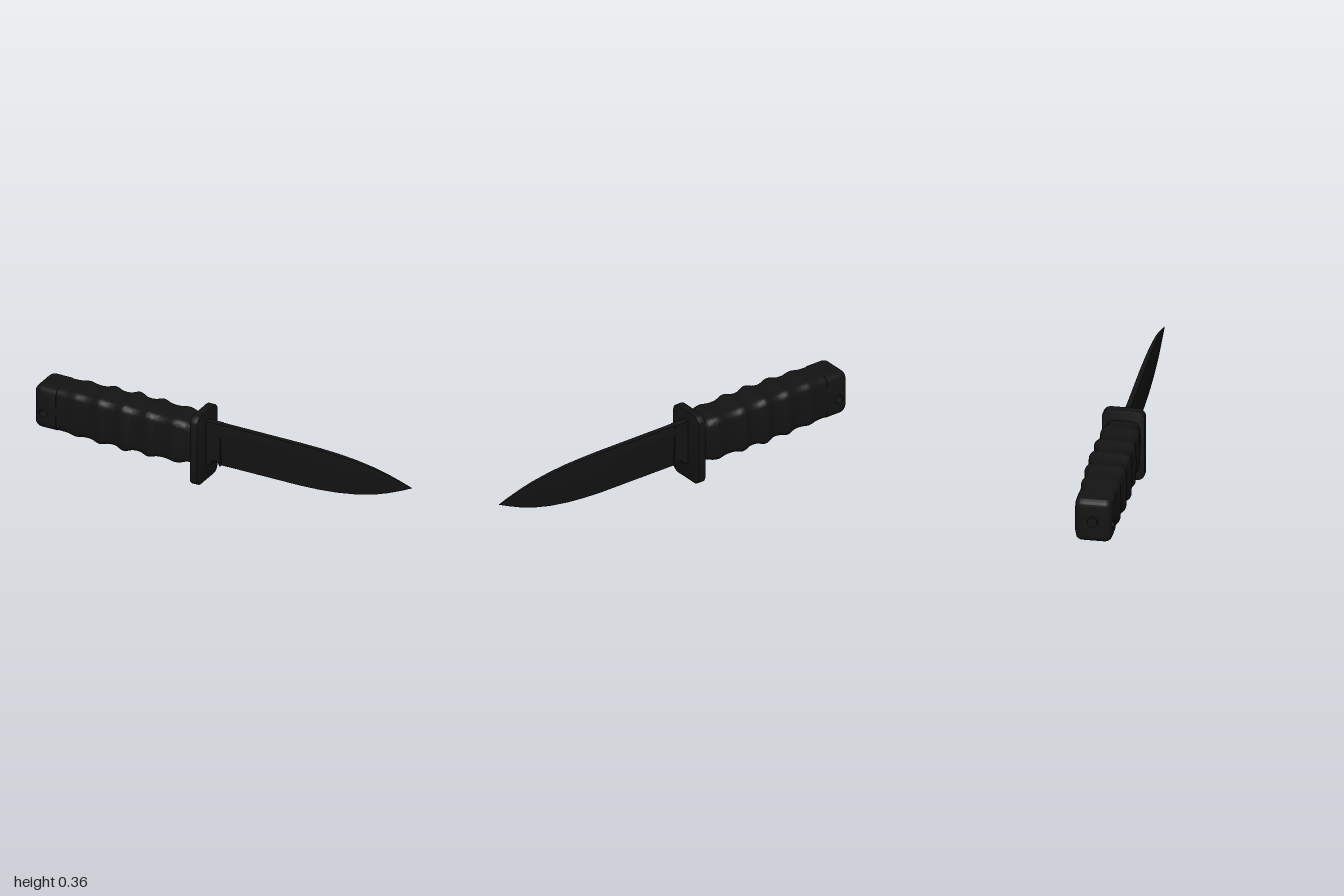
import * as THREE from 'three';
import { toCreasedNormals } from 'three/addons/utils/BufferGeometryUtils.js';

const MID = 0.202; // height of the handle axis

const black = new THREE.MeshStandardMaterial({ color: 0x141414 });

function part(name, geometry, crease = 0.5) {
  const mesh = new THREE.Mesh(toCreasedNormals(geometry, crease), black);
  mesh.name = name;
  return mesh;
}

// Skin equal-length rings of [x, y, z], running from low x to high x, with capped ends
function loft(rings) {
  const n = rings[0].length, index = [];
  for (let i = 0; i < rings.length - 1; i++) {
    for (let j = 0; j < n; j++) {
      const a = i * n + j, b = i * n + (j + 1) % n;
      index.push(a, b, a + n, b, b + n, a + n);
    }
  }
  const last = (rings.length - 1) * n;
  for (let j = 1; j < n - 1; j++) index.push(0, j + 1, j, last, last + j, last + j + 1);
  const g = new THREE.BufferGeometry();
  g.setAttribute('position', new THREE.Float32BufferAttribute(rings.flat(2), 3));
  g.setIndex(index);
  return g;
}

function roundedRect(w, h, r) {
  const s = new THREE.Shape();
  s.absarc(w - r, h - r, r, 0, Math.PI / 2);
  s.absarc(r - w, h - r, r, Math.PI / 2, Math.PI);
  s.absarc(r - w, r - h, r, Math.PI, Math.PI * 1.5);
  s.absarc(w - r, r - h, r, Math.PI * 1.5, Math.PI * 2);
  s.closePath();
  return s;
}

// Rounded-rectangle grip section with slightly convex sides
function gripRing(x, halfH, halfW) {
  const ring = [], r = 0.036;
  const corners = [[1, 1], [-1, 1], [-1, -1], [1, -1]];
  corners.forEach(([sy, sz], q) => {
    for (let k = 0; k <= 6; k++) {
      const a = (q + k / 6) * Math.PI / 2;
      const y = sy * (halfH - r) + r * Math.cos(a);
      const z = sz * (halfW - 0.004 - r) + r * Math.sin(a);
      ring.push([x, MID + y, z]);
    }
    // crown in the middle of each flat
    const a = (q + 1) * Math.PI / 2;
    ring.push([x, MID + Math.cos(a) * halfH, Math.sin(a) * halfW]);
  });
  return ring;
}

// Grip with five raised finger ridges
function makeGrip() {
  const ridges = [[-0.76, 0.006], [-0.63, 0.010], [-0.5, 0.012], [-0.37, 0.010], [-0.23, 0.006]];
  const rings = [], steps = 96;
  for (let i = 0; i <= steps; i++) {
    const x = -0.89 + 0.77 * i / steps;
    let bump = 0;
    for (const [c, amp] of ridges) bump += amp * Math.exp(-(((x - c) / 0.032) ** 2));
    const swell = Math.max(0, 1 - ((x + 0.5) / 0.4) ** 2);
    const neck = x > -0.2 ? 0.006 * Math.min(1, (x + 0.2) / 0.03) : 0;
    rings.push(gripRing(x, 0.111 + bump - neck, 0.088 + 0.005 * swell + bump - neck));
  }
  return part('grip', loft(rings), 0.7);
}

// Pommel with rounded rear edges and a lanyard hole through it
function makePommel() {
  const x0 = -0.98, x1 = -0.86, hh = 0.111, r = 0.035, depth = 0.176;
  const hole = new THREE.Vector2(-0.93, 0.175 - MID);
  const s = new THREE.Shape();
  s.moveTo(x1, -hh);
  s.lineTo(x1, hh);
  s.absarc(x0 + r, hh - r, r, Math.PI / 2, Math.PI);
  s.absarc(x0 + r, r - hh, r, Math.PI, Math.PI * 1.5);
  s.closePath();
  s.holes.push(new THREE.Path().absarc(hole.x, hole.y, 0.02, 0, Math.PI * 2, true));
  const g = new THREE.ExtrudeGeometry(s, { depth, steps: 24, bevelEnabled: false, curveSegments: 10 });
  g.translate(0, 0, -depth / 2);
  const p = g.attributes.position;
  for (let i = 0; i < p.count; i++) {
    const x = p.getX(i), y = p.getY(i);
    if (Math.hypot(x - hole.x, y - hole.y) < 0.022) continue;
    // shrink the outline towards the two side faces
    const t = Math.max(0, (Math.abs(p.getZ(i)) - 0.052) / 0.036);
    const inset = 0.028 * (1 - Math.sqrt(Math.max(0, 1 - t * t)));
    p.setX(i, x1 + (x - x1) * (1 - inset / (x1 - x0)));
    p.setY(i, y * (1 - inset / hh));
  }
  g.translate(0, MID, 0);
  return part('pommel', g, 0.6);
}

// Flat cross guard with rounded corners
function makeGuard() {
  const bevel = 0.004;
  const g = new THREE.ExtrudeGeometry(roundedRect(0.102 - bevel, 0.181 - bevel, 0.036), {
    depth: 0.032, bevelSize: bevel, bevelThickness: bevel, bevelSegments: 2, curveSegments: 8,
  });
  g.rotateY(Math.PI / 2);
  g.translate(-0.132, 0.181, 0);
  return part('guard', g);
}

// Full-thickness blade root with a half-round notch below
function makeRicasso() {
  const s = new THREE.Shape();
  s.moveTo(-0.11, 0.088);
  s.lineTo(-0.071, 0.088);
  s.absarc(-0.048, 0.091, 0.023, Math.PI, 0, true);
  s.lineTo(-0.02, 0.091);
  s.lineTo(-0.02, 0.312);
  s.lineTo(-0.11, 0.312);
  s.closePath();
  const g = new THREE.ExtrudeGeometry(s, { depth: 0.032, bevelEnabled: false, curveSegments: 16 });
  g.translate(0, 0, -0.016);
  return part('ricasso', g);
}

// Blade: spine on top, tapering to the cutting edge and to the point
function makeBlade() {
  // x, edge height, spine height, half thickness
  const stations = [
    [-0.025, 0.092, 0.312, 0.016], [0.02, 0.092, 0.312, 0.015], [0.4, 0.092, 0.312, 0.014],
    [0.5, 0.096, 0.311, 0.0125], [0.6, 0.105, 0.307, 0.0115], [0.7, 0.121, 0.298, 0.0105],
    [0.8, 0.146, 0.283, 0.009], [0.87, 0.171, 0.267, 0.0075], [0.94, 0.201, 0.248, 0.005],
    [1.0, 0.2295, 0.2305, 0.0005],
  ];
  const section = [[0, 0.08], [0.5, 0.68], [0.82, 1], [1, 0.85]]; // height share, thickness share
  const rings = stations.map(([x, lo, hi, t]) => {
    const near = section.map(([h, w]) => [x, lo + h * (hi - lo), w * t]);
    const far = near.map(([, y, z]) => [x, y, -z]);
    return [...near.reverse(), ...far];
  });
  return part('blade', loft(rings), 0.12);
}

// Round tang end showing behind the pommel
function makeTangNut() {
  const g = new THREE.CylinderGeometry(0.025, 0.025, 0.03, 20);
  g.rotateZ(Math.PI / 2);
  g.translate(-0.985, 0.206, 0);
  return part('tangNut', g);
}

export function createModel() {
  const knife = new THREE.Group();
  knife.name = 'knife';
  knife.add(makeGrip(), makePommel(), makeTangNut(), makeGuard(), makeRicasso(), makeBlade());
  return knife;
}
